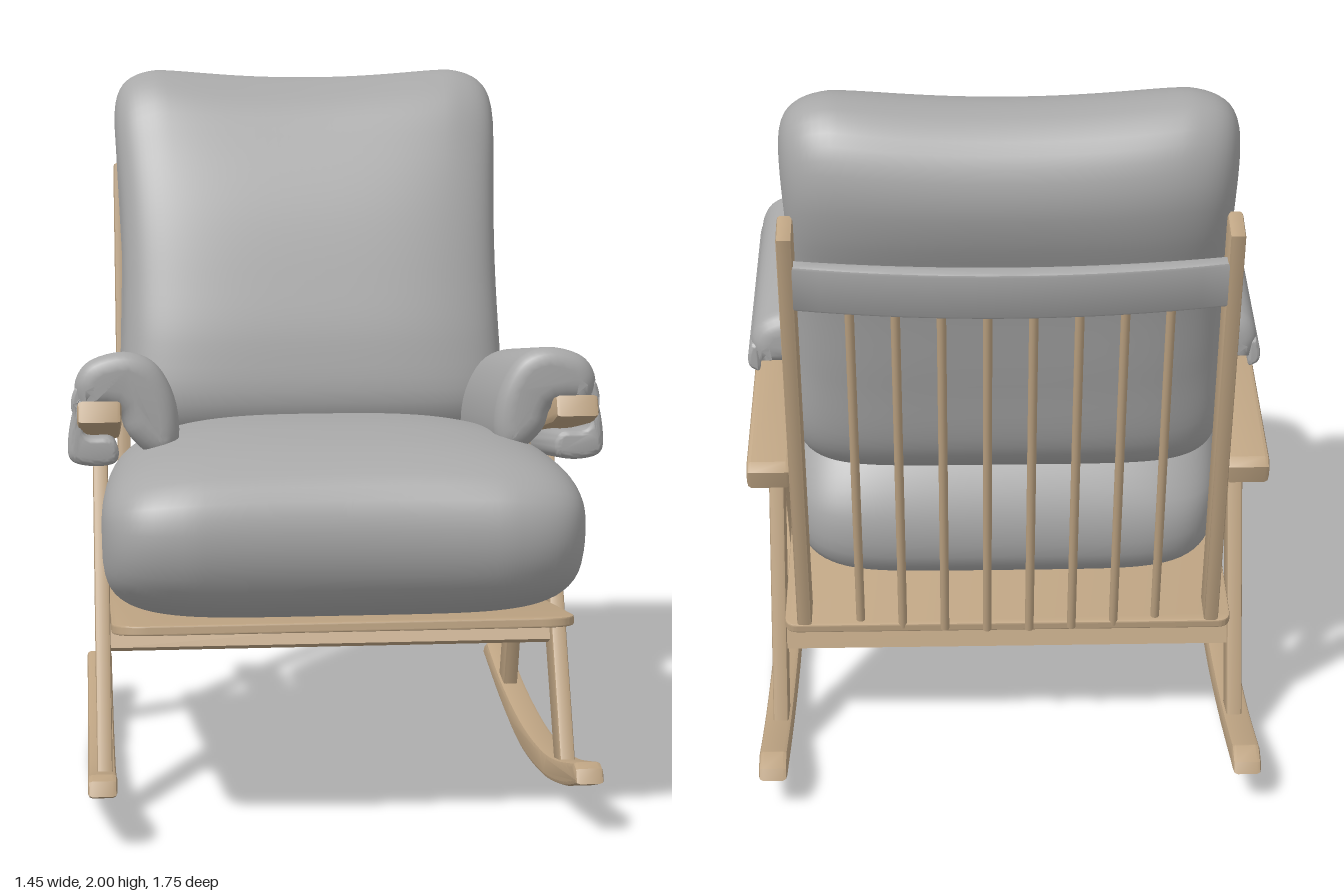
import * as THREE from 'three';
import { toCreasedNormals } from 'three/addons/utils/BufferGeometryUtils.js';

const wood = new THREE.MeshStandardMaterial({ color: 0xbea483 });
wood.name = 'oak wood';
const fabric = new THREE.MeshStandardMaterial({ color: 0xa8a8a8 });
fabric.name = 'grey upholstery';

const v2 = (pts) => pts.map(([a, b]) => new THREE.Vector2(a, b));

function add(parent, name, geometry, material) {
  const mesh = new THREE.Mesh(geometry, material);
  mesh.name = name;
  parent.add(mesh);
  return mesh;
}

// Extrude with a small bevel that stays inside the outline, centred on its depth
function slab(shape, depth, bevel, crease = 0.6, segments = 2) {
  const g = new THREE.ExtrudeGeometry(shape, {
    depth: depth - 2 * bevel, bevelEnabled: true, bevelThickness: bevel,
    bevelSize: bevel, bevelOffset: -bevel, bevelSegments: segments, curveSegments: 16,
  });
  g.translate(0, 0, bevel - depth / 2);
  return toCreasedNormals(g, crease);
}

// Side outline in (z, y), given thickness between two x positions
function sidePart(shape, x0, x1, bevel = 0.008) {
  return slab(shape, Math.abs(x1 - x0), bevel).rotateY(-Math.PI / 2).translate((x0 + x1) / 2, 0, 0);
}

// Soft (x, y) section run from z0 to z1, sinking to the rear along the armrest
function armWrap(points, s, z0, z1, bevel) {
  const curve = new THREE.SplineCurve(v2([...points, points[0]].map(([x, y]) => [s * x, y])));
  const g = slab(new THREE.Shape(curve.getPoints(48).slice(0, 48)), z1 - z0, bevel, 1.1, 5);
  g.translate(0, 0, (z0 + z1) / 2);
  const p = g.attributes.position;
  for (let i = 0; i < p.count; i++) p.setY(i, p.getY(i) - (0.48 - p.getZ(i)) * 0.136);
  return toCreasedNormals(g, 1.1);
}

// Pillow: a (z, y) profile swept across x, shrinking to both ends. Each exponent sets
// how late: nL for the length along the axis, nT and nB for the thickness on either side.
function pillow({ profile, centre, angle, width, nL, nT, nB, tweak }) {
  const curve = new THREE.CatmullRomCurve3(profile.map(([z, y]) => new THREE.Vector3(0, y, z)), true);
  const M = 80, N = 56, pts = curve.getSpacedPoints(M).slice(0, M);
  const [cz, cy] = centre, dz = Math.cos(angle), dy = Math.sin(angle);
  const pos = [], index = [];
  for (let i = 0; i <= N; i++) {
    const u = Math.sin((i / N - 0.5) * Math.PI);
    const shrink = (n) => Math.pow(Math.max(0, 1 - Math.abs(u) ** n), 1 / n);
    for (let j = 0; j < M; j++) {
      const z = pts[j].z - cz, y = pts[j].y - cy;
      const across = y * dz - z * dy;
      const l = (z * dz + y * dy) * shrink(nL), t = across * shrink(across > 0 ? nT : nB);
      const p = new THREE.Vector3(u * width, cy + l * dy + t * dz, cz + l * dz - t * dy);
      tweak(p);
      pos.push(p.x, p.y, p.z);
      if (i < N) {
        const k = (j + 1) % M, A = i * M + j, B = A + M, C = (i + 1) * M + k, D = i * M + k;
        index.push(A, B, C, A, C, D);
      }
    }
  }
  const g = new THREE.BufferGeometry();
  g.setAttribute('position', new THREE.Float32BufferAttribute(pos, 3));
  g.setIndex(index);
  g.computeVertexNormals();
  return g;
}

function buildSide(s) {
  const side = new THREE.Group();
  side.name = s > 0 ? 'leftSide' : 'rightSide';

  // Curved rocker
  const rocker = new THREE.Shape();
  rocker.moveTo(0.768, 0.153);
  rocker.splineThru(v2([[0.55, 0.085], [0.25, 0.025], [-0.13, 0], [-0.5, 0.037], [-0.87, 0.106]]));
  rocker.lineTo(-0.855, 0.135);
  rocker.lineTo(-0.806, 0.156);
  rocker.splineThru(v2([[-0.5, 0.1], [-0.13, 0.075], [0.2, 0.09], [0.45, 0.13], [0.715, 0.198]]));
  rocker.lineTo(0.75, 0.19);
  add(side, 'rocker', sidePart(rocker, s * 0.605, s * 0.682, 0.012), wood);

  // Front leg, rear leg and the arched bridge between them
  const legs = new THREE.Shape(v2([[0.385, 0.1], [0.485, 0.13], [0.05, 1.03], [-0.38, 0.95],
    [-0.34, 0.88], [-0.6, 0.09], [-0.495, 0.09], [-0.265, 0.82]]));
  legs.quadraticCurveTo(-0.23, 0.86, -0.12, 0.862);
  legs.quadraticCurveTo(-0.03, 0.88, -0.005, 0.85);
  add(side, 'legFrame', sidePart(legs, s * 0.615, s * 0.657), wood);

  // Sloping armrest
  const arm = new THREE.Shape(v2([[0.545, 1.105], [0.52, 1.158], [0.06, 1.055], [-0.61, 0.945],
    [-0.635, 0.925], [-0.62, 0.872], [0.06, 0.985], [0.47, 1.075]]));
  add(side, 'armrest', sidePart(arm, s * 0.58, s * 0.697, 0.012), wood);

  // Padded saddle draped over the armrest
  add(side, 'armPad', armWrap([[0.69, 1.13], [0.703, 1.2], [0.665, 1.26], [0.57, 1.285], [0.49, 1.255],
    [0.44, 1.17], [0.425, 1.07], [0.445, 1.005], [0.5, 1.005], [0.56, 1.06], [0.59, 1.125]], s, -0.225, 0.487, 0.05), fabric);

  // Outer pocket: upper band, and lower fold that tucks below the armrest
  add(side, 'pocketBand', armWrap([[0.68, 1.185], [0.7, 1.19], [0.712, 1.16], [0.712, 1.13],
    [0.7, 1.115], [0.68, 1.115]], s, -0.21, 0.46, 0.01), fabric);
  add(side, 'pocketFold', armWrap([[0.69, 1.16], [0.708, 1.13], [0.722, 1.05], [0.715, 0.995], [0.66, 0.978],
    [0.6, 0.985], [0.588, 1.02], [0.61, 1.055], [0.68, 1.065]], s, 0.08, 0.48, 0.018), fabric);
  return side;
}

function buildBackFrame() {
  const back = new THREE.Group();
  back.name = 'backFrame';
  back.position.set(0, 0.43, -0.545);
  back.rotation.x = -0.2;

  // Posts, tapered slightly to the top
  const post = new THREE.Shape(v2([[0.05, 0], [0.047, 1.3], [-0.047, 1.29], [-0.045, 0]]));
  for (const s of [-1, 1]) add(back, 'backPost', sidePart(post, s * 0.54, s * 0.58), wood);

  // Spindles follow the bow of the top rail
  for (let i = 0; i < 8; i++) {
    const x = (i - 3.5) * 0.116;
    const rod = add(back, 'spindle', new THREE.CylinderGeometry(0.012, 0.012, 1.14, 12), wood);
    rod.position.set(x, 0.56, -0.015 - 0.04 * (1 - (x / 0.45) ** 2));
  }

  // Bowed upholstered rail
  const rail = new THREE.Shape();
  rail.moveTo(-0.545, -0.01);
  rail.quadraticCurveTo(0, -0.085, 0.545, -0.01);
  rail.lineTo(0.545, -0.045);
  rail.quadraticCurveTo(0, -0.133, -0.545, -0.045);
  add(back, 'topRail', slab(rail, 0.135, 0.008).rotateX(Math.PI / 2).translate(0, 1.14, 0), fabric);
  return back;
}

export function createModel() {
  const model = new THREE.Group();
  model.name = 'rockingChair';
  for (const s of [1, -1]) model.add(buildSide(s));
  model.add(buildBackFrame());

  // Seat board with rounded corners
  const w = 0.615, l = 0.667, r = 0.1, q = 0.04;
  const plan = new THREE.Shape();
  plan.moveTo(-w + q, -l);
  plan.lineTo(w - q, -l);
  plan.quadraticCurveTo(w, -l, w, -l + q);
  plan.lineTo(w, l - r);
  plan.quadraticCurveTo(w, l, w - r, l);
  plan.lineTo(-w + r, l);
  plan.quadraticCurveTo(-w, l, -w, l - r);
  plan.lineTo(-w, -l + q);
  plan.quadraticCurveTo(-w, -l, -w + q, -l);
  const board = add(model, 'seatBoard', slab(plan, 0.026, 0.005).rotateX(Math.PI / 2), wood);
  board.position.set(0, 0.498, 0.07);
  board.rotation.x = -0.13;

  // Stretchers between the front legs and between the rear legs
  for (const [name, h, y, z, tilt] of [
    ['frontStretcher', 0.085, 0.465, 0.265, -0.48], ['rearStretcher', 0.125, 0.36, -0.485, 0.31]]) {
    const bar = add(model, name, new THREE.BoxGeometry(1.24, h, 0.035), wood);
    bar.position.set(0, y, z);
    bar.rotation.x = tilt;
  }

  // Seat cushion, flatter below, narrower to the rear, front edge drawn in at the middle
  add(model, 'seatCushion', pillow({
    profile: [[0.88, 0.82], [0.85, 0.95], [0.74, 1.03], [0.48, 1.07], [0.2, 1.06], [-0.1, 1.02], [-0.28, 0.96],
      [-0.4, 0.86], [-0.49, 0.68], [-0.465, 0.53], [-0.37, 0.475], [0.1, 0.52], [0.5, 0.575], [0.69, 0.607], [0.83, 0.69]],
    centre: [0.2, 0.79], angle: 0.135, width: 0.645, nL: 7, nT: 3.1, nB: 4.8,
    tweak: (p) => {
      p.x *= 0.955 + 0.06 * p.z;
      p.z -= 0.018 * THREE.MathUtils.smoothstep(p.z, 0.6, 0.88) * Math.max(0, 1 - (p.x / 0.4) ** 2);
    },
  }), fabric);

  // Back cushion with raised top corners and a slight waist
  add(model, 'backCushion', pillow({
    profile: [[-0.42, 0.88], [-0.26, 0.915], [-0.175, 1.02], [-0.19, 1.2], [-0.25, 1.4], [-0.325, 1.6], [-0.408, 1.77],
      [-0.495, 1.915], [-0.585, 1.985], [-0.68, 2.003], [-0.765, 1.983], [-0.835, 1.91], [-0.862, 1.8], [-0.84, 1.68],
      [-0.765, 1.5], [-0.685, 1.2], [-0.61, 0.96], [-0.53, 0.885]],
    centre: [-0.5, 1.44], angle: Math.atan2(0.963, -0.268), width: 0.56, nL: 8, nT: 4.5, nB: 4.2,
    tweak: (p) => {
      p.y += THREE.MathUtils.smoothstep(p.y, 1.55, 2) * (0.03 * Math.min(1, (p.x / 0.42) ** 2) - 0.026);
      p.x *= 1 + 0.065 * ((p.y - 1.42) / 0.55) ** 2;
    },
  }), fabric);
  return model;
}
